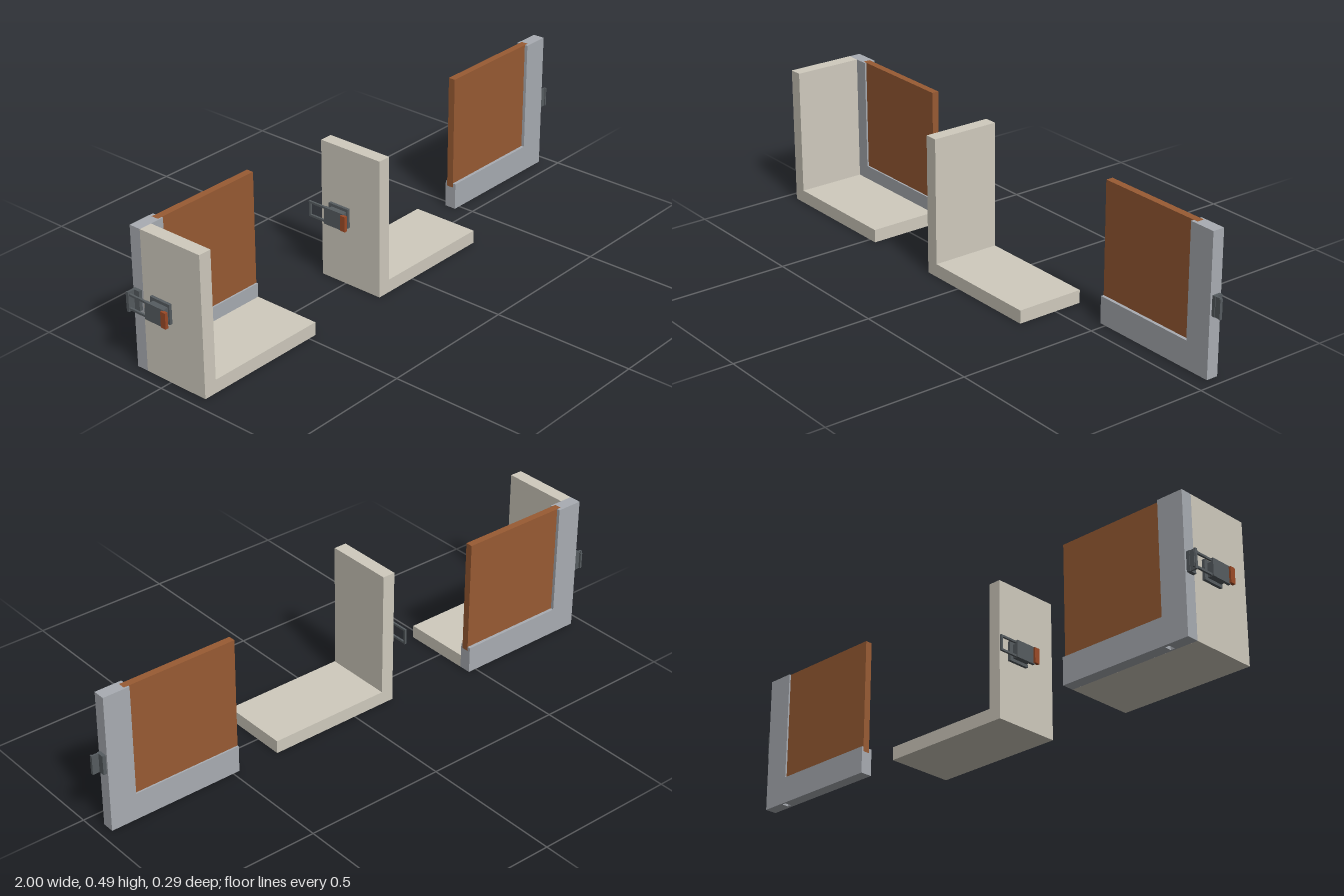
import * as THREE from 'three';

const material = (name, color, extra = {}) => {
  const m = new THREE.MeshStandardMaterial({ color, ...extra });
  m.name = name;
  return m;
};

export function createModel() {
  const cream = material('cream board', 0xd0cbbe);
  const grey = material('grey frame', 0xa9adb3);
  const wood = material('brown panel', 0x995b33);
  const steel = material('dark steel', 0x565c60);
  const grip = material('rust grip', 0x9c4a26);

  const SIZE = 0.487;   // length and height of every corner section
  const WALL = 0.046;   // board thickness
  const FRAME = 0.0425; // door frame depth
  const STILE = 0.095;  // visible frame width
  const GROOVE = 0.016;
  const MID = 0.245;    // height of the hardware centre

  // Box given by its minimum and maximum corners
  const box = (parent, name, mat, a, b) => {
    const mesh = new THREE.Mesh(new THREE.BoxGeometry(b[0] - a[0], b[1] - a[1], b[2] - a[2]), mat);
    mesh.position.set((a[0] + b[0]) / 2, (a[1] + b[1]) / 2, (a[2] + b[2]) / 2);
    mesh.name = name;
    parent.add(mesh);
    return mesh;
  };

  const shapeOf = (pts) => new THREE.Shape(pts.map(([x, y]) => new THREE.Vector2(x, y)));
  const extrude = (pts, depth) =>
    new THREE.ExtrudeGeometry(shapeOf(pts), { depth, bevelEnabled: false });

  // L-shaped board: side wall and floor in one profile
  const makeCarcass = () => {
    const g = new THREE.Group();
    g.name = 'carcassCorner';
    const geo = extrude([[0, 0], [SIZE, 0], [SIZE, WALL], [WALL, WALL], [WALL, SIZE], [0, SIZE]], 0.2445);
    const board = new THREE.Mesh(geo, cream);
    board.name = 'wallAndFloor';
    board.position.z = -0.101;
    g.add(board);
    return g;
  };

  // Grooved frame with inset panel; outer edge at x = 0, centred on z = 0
  const makeDoor = () => {
    const g = new THREE.Group();
    g.name = 'framedDoor';
    const h = FRAME / 2, near = 0.015, far = -0.01; // groove faces in z
    const bottom = STILE - GROOVE;

    // Stile: C-shaped section swept upward
    const stileGeo = extrude([
      [0, -h], [STILE, -h], [STILE, -near], [bottom, -near],
      [bottom, -far], [STILE, -far], [STILE, h], [0, h],
    ], SIZE).rotateX(-Math.PI / 2);
    const stile = new THREE.Mesh(stileGeo, grey);
    stile.name = 'stile';
    g.add(stile);

    // Rail: same groove swept sideways
    const railGeo = extrude([
      [-h, 0], [h, 0], [h, STILE], [-far, STILE],
      [-far, bottom], [-near, bottom], [-near, STILE], [-h, STILE],
    ], SIZE - STILE).rotateY(Math.PI / 2);
    const rail = new THREE.Mesh(railGeo, grey);
    rail.name = 'rail';
    rail.position.x = STILE;
    g.add(rail);

    box(g, 'panel', wood, [bottom, bottom, far], [SIZE, SIZE, near]);

    // Catch on the outer edge: plate, standing lip and bent tip
    const strike = new THREE.Group();
    strike.name = 'catch';
    box(strike, 'catchPlate', steel, [-0.012, MID - 0.034, -0.014], [0, MID + 0.034, 0.015]);
    box(strike, 'catchLip', steel, [-0.036, MID - 0.034, -0.012], [-0.012, MID + 0.034, -0.006]);
    box(strike, 'catchTip', steel, [-0.036, MID - 0.034, -0.016], [-0.031, MID + 0.034, -0.012]);
    g.add(strike);
    return g;
  };

  // Toggle latch standing off the wall at x = 0, with a wire loop to loopEnd
  const makeLatch = (loopEnd) => {
    const g = new THREE.Group();
    g.name = 'toggleLatch';
    box(g, 'latchBase', steel, [-0.01, MID - 0.034, -0.063], [0, MID + 0.034, 0.018]);
    box(g, 'latchBlock', steel, [-0.028, MID - 0.024, -0.05], [-0.01, MID + 0.024, 0.012]);
    box(g, 'leverPlate', steel, [-0.038, MID - 0.03, -0.058], [-0.028, MID + 0.03, 0.022]);
    box(g, 'leverGrip', grip, [-0.045, MID - 0.027, 0.016], [-0.034, MID + 0.027, 0.036]);
    const r = 0.0035, x = -0.03;
    for (const s of [-1, 1]) {
      const y = MID + s * 0.024;
      box(g, 'loopArm', steel, [x - r, y - r, loopEnd], [x + r, y + r, -0.05]);
    }
    box(g, 'loopEnd', steel, [x - r, MID - 0.0275, loopEnd], [x + r, MID + 0.0275, loopEnd + 0.007]);
    return g;
  };

  const model = new THREE.Group();
  model.name = 'cabinetCornerStudy';

  // Closed assembly
  const closed = new THREE.Group();
  closed.name = 'closedAssembly';
  const closedDoor = makeDoor();
  closedDoor.position.z = -0.1223;
  closed.add(makeCarcass(), closedDoor, makeLatch(-0.142));
  closed.position.x = -0.957;
  model.add(closed);

  // Carcass on its own
  const open = new THREE.Group();
  open.name = 'openCarcass';
  open.add(makeCarcass(), makeLatch(-0.128));
  open.position.x = -0.163;
  model.add(open);

  // Door on its own, turned round
  const door = makeDoor();
  door.name = 'separateDoor';
  door.rotation.y = Math.PI;
  door.position.set(0.963, 0, -0.0795);
  model.add(door);

  return model;
}
